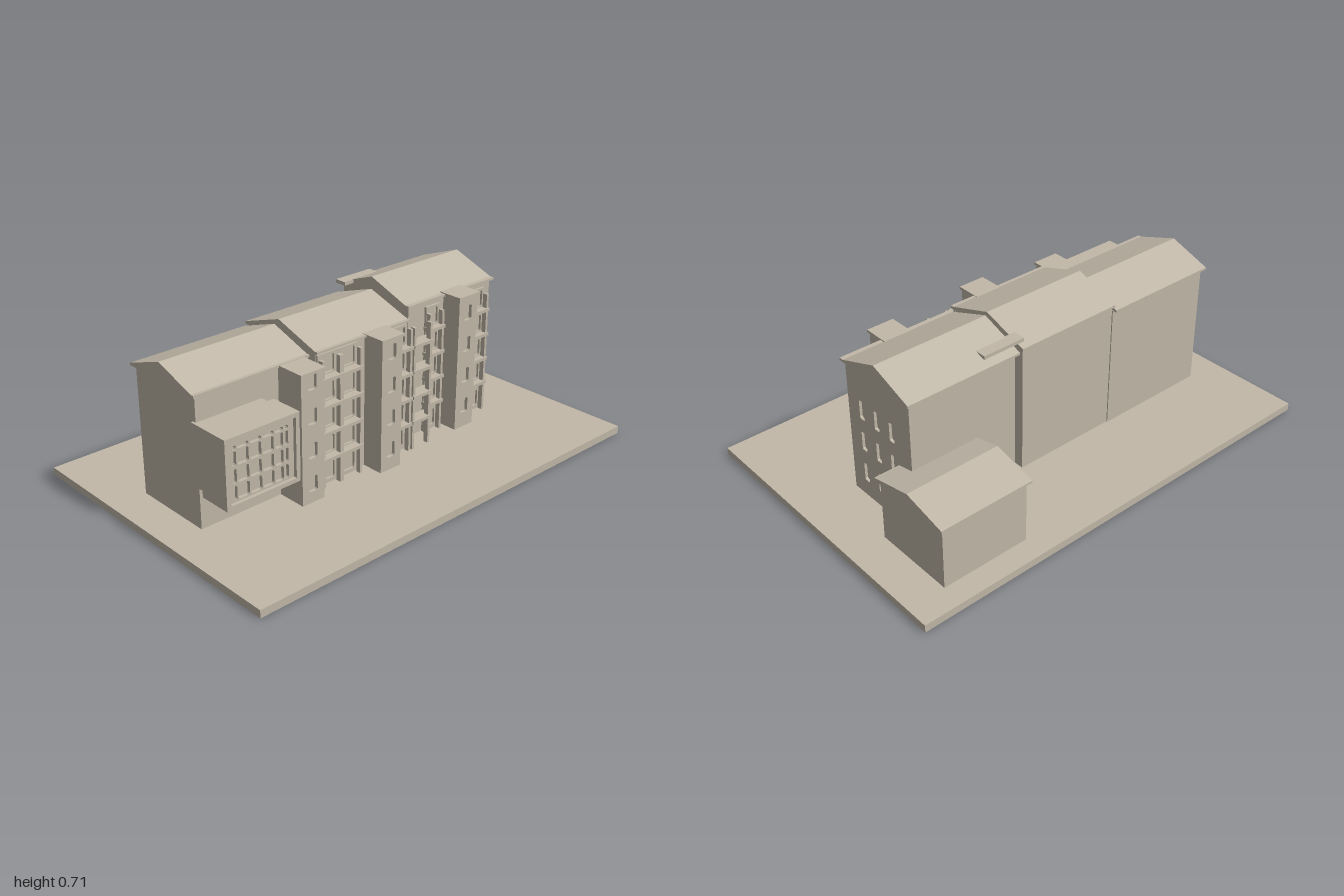
import * as THREE from 'three';

export function createModel() {
  const model = new THREE.Group();
  model.name = 'apartmentBuilding';
  const stone = new THREE.MeshStandardMaterial({ color: 0xc1b8a8 });
  stone.name = 'warm stone';
  const GROUND = 0.033;

  function add(geometry, name, parent = model) {
    const mesh = new THREE.Mesh(geometry, stone);
    mesh.name = name;
    parent.add(mesh);
    return mesh;
  }
  // Box given by its limits on each axis
  function box(name, x0, x1, y0, y1, z0, z1, parent) {
    const mesh = add(new THREE.BoxGeometry(x1 - x0, y1 - y0, z1 - z0), name, parent);
    mesh.position.set((x0 + x1) / 2, (y0 + y1) / 2, (z0 + z1) / 2);
    return mesh;
  }
  // Rectangle with slightly clipped corners
  function outline(path, [x0, x1, y0, y1], c = 0) {
    const points = c
      ? [[x0 + c, y0], [x1 - c, y0], [x1, y0 + c], [x1, y1 - c], [x1 - c, y1], [x0 + c, y1], [x0, y1 - c], [x0, y0 + c]]
      : [[x0, y0], [x1, y0], [x1, y1], [x0, y1]];
    return path.setFromPoints(points.map(p => new THREE.Vector2(...p)));
  }
  // Wall skin with window openings, back face at z
  function pierced(name, rect, holes, z, depth, parent, clip = 0.005) {
    const shape = outline(new THREE.Shape(), rect);
    shape.holes = holes.map(h => outline(new THREE.Path(), h, clip));
    const mesh = add(new THREE.ExtrudeGeometry(shape, { depth, bevelEnabled: false }), name, parent);
    mesh.position.z = z;
    return mesh;
  }
  // Gable roof with its ridge along x, on a thin eaves slab
  function roof(x0, x1, z0, z1, eave, peak, lip, parent) {
    box('eaves', x0, x1, eave - 0.01, eave, z0, z1 + lip, parent);
    const shape = new THREE.Shape([[-z1, eave], [-z0, eave], [-(z0 + z1) / 2, peak]].map(p => new THREE.Vector2(...p)));
    const geo = new THREE.ExtrudeGeometry(shape, { depth: x1 - x0, bevelEnabled: false });
    geo.rotateY(Math.PI / 2);
    geo.translate(x0, 0, 0);
    add(geo, 'gableRoof', parent);
  }

  box('groundSlab', -1, 1, 0, GROUND, -0.667, 0.667);

  // Main wings and rear annex: wall x, wall z, roof x, roof z, eaves, peak, front lip
  const blocks = [
    ['leftWing', -0.84, -0.31, -0.24, 0.125, -0.855, -0.315, -0.255, 0.125, 0.59, 0.655, 0.015],
    ['middleWing', -0.31, 0.17, -0.235, 0.17, -0.315, 0.18, -0.248, 0.17, 0.612, 0.682, 0.015],
    ['rightWing', 0.242, 0.726, -0.272, 0.115, 0.23, 0.752, -0.288, 0.108, 0.637, 0.71, 0.02],
    ['annex', 0.445, 0.835, -0.567, -0.207, 0.43, 0.85, -0.583, -0.195, 0.316, 0.362, 0.003],
  ];
  for (const [name, x0, x1, z0, z1, rx0, rx1, rz0, rz1, eave, peak, lip] of blocks) {
    const wing = new THREE.Group();
    wing.name = name;
    model.add(wing);
    box('walls', x0, x1, GROUND, eave - 0.008, z0, z1, wing);
    roof(rx0, rx1, rz0, rz1, eave, peak, lip, wing);
  }
  box('linkRoofSlab', 0.18, 0.375, 0.652, 0.667, -0.255, -0.2);

  // Windowed gable end of the right wing
  const gableHoles = [];
  for (const z of [0.029, -0.065, -0.158])
    for (const y of [0.148, 0.297, 0.443]) gableHoles.push([-z - 0.015, -z + 0.015, y - 0.042, y + 0.042]);
  const gable = pierced('gableEndWindows', [-0.115, 0.272, GROUND, 0.628], gableHoles, 0, 0.012);
  gable.rotation.y = Math.PI / 2;
  gable.position.x = 0.726;

  // Stair towers: centre x, rear z, front z, top y, top window y
  const towers = [
    [-0.402, 0.1, 0.256, 0.588, 0.543],
    [0, 0.15, 0.269, 0.614, 0.551],
    [0.505, 0.1, 0.207, 0.642, 0.562],
  ];
  for (const [x, z0, z1, top, wy] of towers) {
    const tower = new THREE.Group();
    tower.name = 'stairTower';
    model.add(tower);
    box('towerCore', x - 0.055, x + 0.055, GROUND, top - 0.01, z0, z1 - 0.015, tower);
    const holes = [0, 1, 2, 3].map(i => {
      const y = wy - i * 0.143;
      return [x - 0.021, x + 0.021, y - 0.033, y + 0.033];
    });
    pierced('towerFront', [x - 0.055, x + 0.055, GROUND, top - 0.01], holes, z1 - 0.015, 0.015, tower);
    box('towerCap', x - 0.061, x + 0.061, top - 0.012, top, z0, z1 + 0.007, tower);
  }

  // Balcony bays: x limits, wall z, front z, height offset, whether windows sit behind
  const bays = [
    [-0.305, -0.215, 0.17, 0.21, 0, true],
    [-0.208, -0.108, 0.17, 0.21, 0, true],
    [0.083, 0.168, 0.17, 0.21, 0, true],
    [0.19, 0.282, 0.17, 0.21, 0, false],
    [0.342, 0.416, 0.115, 0.15, 0.01, true],
    [0.598, 0.694, 0.115, 0.15, 0.01, true],
  ];
  for (const [x0, x1, z0, z1, lift, windows] of bays) {
    const bay = new THREE.Group();
    bay.name = 'balconyBay';
    model.add(bay);
    const levels = [0.157, 0.272, 0.386, 0.5].map(y => y + lift);
    for (const y of levels) {
      box('balconyFloor', x0 - 0.008, x1 + 0.008, y - 0.007, y + 0.007, z0, z1 + 0.007, bay);
      if (!windows) box('linkFloor', 0.165, 0.3, y - 0.007, y + 0.007, z0 - 0.01, z1 - 0.01, bay);
    }
    for (const x of [x0, x1]) box('balconyPost', x - 0.006, x + 0.006, GROUND, 0.58, z1 - 0.022, z1, bay);
    if (windows) {
      const holes = [GROUND + 0.005, ...levels].map(y => [x0 + 0.01, x1 - 0.01, y + 0.012, y + 0.085]);
      pierced('balconyWindowFrames', [x0 - 0.004, x1 + 0.004, GROUND, 0.595 + lift], holes, z0, 0.01, bay);
    }
  }

  // Projecting glazed hall on the left wing
  const hall = new THREE.Group();
  hall.name = 'projectingHall';
  model.add(hall);
  box('hallBody', -0.85, -0.54, 0.215, 0.475, 0.11, 0.295, hall);
  pierced('hallSurround', [-0.865, -0.525, 0.203, 0.488], [[-0.845, -0.543, 0.22, 0.47]], 0.18, 0.145, hall, 0);
  const columns = [[-0.822, -0.806], [-0.8, -0.75], [-0.743, -0.693], [-0.686, -0.636], [-0.629, -0.592], [-0.586, -0.568]];
  const rows = [[0.227, 0.284], [0.294, 0.352], [0.364, 0.422], [0.428, 0.445]];
  const panes = columns.flatMap(c => rows.map(r => [...c, ...r]));
  pierced('hallWindowGrid', [-0.845, -0.543, 0.22, 0.47], panes, 0.295, 0.015, hall, 0.005);

  return model;
}
